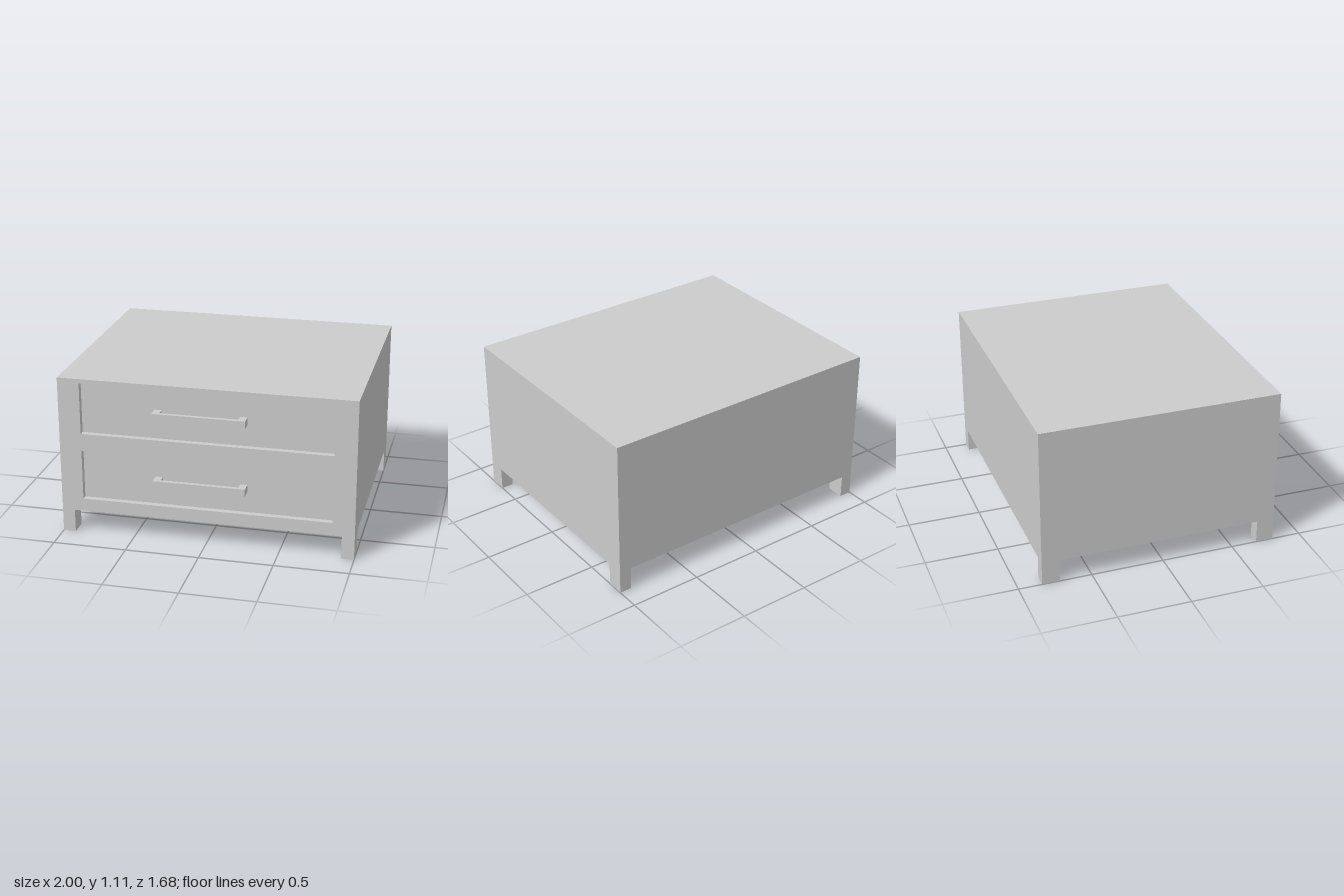
import * as THREE from 'three';

const material = new THREE.MeshStandardMaterial({ color: 0xcccccc, flatShading: true });

// Box given by its minimum and maximum corners
function box(name, [x0, y0, z0], [x1, y1, z1]) {
  const mesh = new THREE.Mesh(new THREE.BoxGeometry(x1 - x0, y1 - y0, z1 - z0), material);
  mesh.position.set((x0 + x1) / 2, (y0 + y1) / 2, (z0 + z1) / 2);
  mesh.name = name;
  return mesh;
}

function rectangle(target, x0, y0, x1, y1) {
  target.moveTo(x0, y0);
  target.lineTo(x1, y0);
  target.lineTo(x1, y1);
  target.lineTo(x0, y1);
  target.closePath();
  return target;
}

export function createModel() {
  const group = new THREE.Group();
  group.name = 'drawerChest';

  const bottom = 0.16, top = 1.105, back = -0.84, front = 0.8;
  const recess = 0.04;
  const panel = front - recess; // plane of the drawer fronts
  const drawers = [
    { name: 'lowerDrawer', y0: 0.25, y1: 0.6, handleY: 0.42 },
    { name: 'upperDrawer', y0: 0.72, y1: 1.075, handleY: 0.895 },
  ];

  // Carcass, whose front plane also forms the recessed drawer fronts
  group.add(box('carcass', [-1, bottom, back], [1, top, panel]));

  // Face frame with one opening per drawer
  const frame = rectangle(new THREE.Shape(), -1, bottom, 1, top);
  for (const d of drawers) frame.holes.push(rectangle(new THREE.Path(), -0.85, d.y0, 0.85, d.y1));
  const frameMesh = new THREE.Mesh(
    new THREE.ExtrudeGeometry(frame, { depth: recess, bevelEnabled: false }), material);
  frameMesh.position.z = panel;
  frameMesh.name = 'faceFrame';
  group.add(frameMesh);

  // Handles: a bar on two posts, set slightly off centre
  const left = -0.35, right = 0.275, post = 0.05, half = 0.025, barBack = 0.812, barFront = 0.84;
  for (const d of drawers) {
    const handle = new THREE.Group();
    handle.name = d.name + 'Handle';
    const y0 = d.handleY - half, y1 = d.handleY + half;
    handle.add(box('bar', [left, y0, barBack], [right, y1, barFront]));
    for (const x of [left, right - post]) {
      handle.add(box('post', [x, y0, panel], [x + post, y1, barBack]));
    }
    group.add(handle);
  }

  // Four corner legs, flush with the carcass sides
  const legW = 0.085, legD = 0.12;
  for (const x of [-1, 1 - legW]) {
    for (const z of [back, front - legD]) {
      group.add(box(z < 0 ? 'backLeg' : 'frontLeg', [x, 0, z], [x + legW, bottom, z + legD]));
    }
  }

  return group;
}
